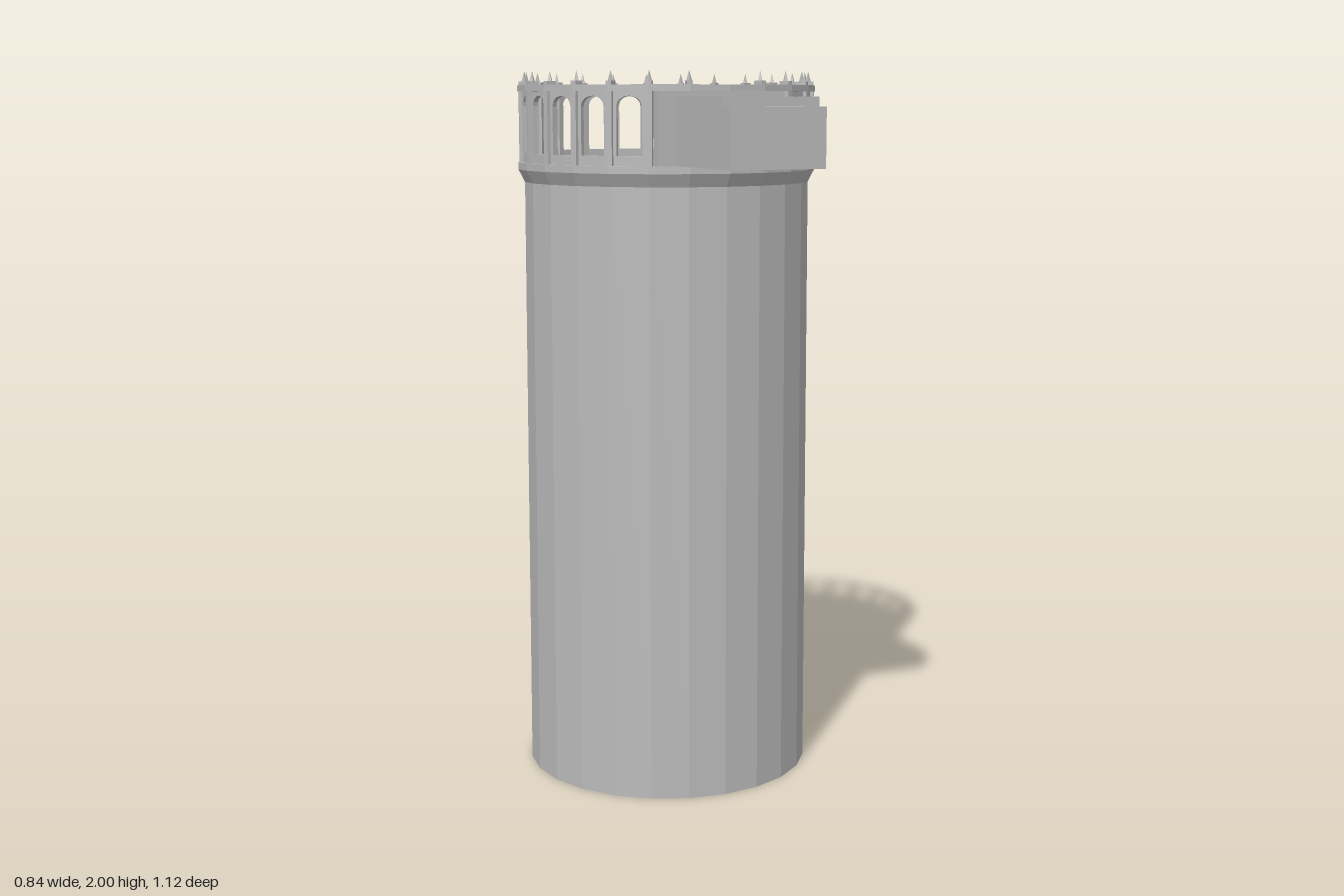
import * as THREE from 'three';

const SIDES = 24;
const CENTRE_Z = -0.14;
const STEP = (Math.PI * 2) / SIDES;
const FLOOR = 1.75;

// Rectangular wall with an arched opening, standing on y = 0
function archWall(width, height, openWidth, sill, spring, rise, depth) {
  const w = width / 2, o = openWidth / 2;
  const shape = new THREE.Shape();
  shape.moveTo(-w, 0).lineTo(w, 0).lineTo(w, height).lineTo(-w, height).closePath();
  const hole = new THREE.Path();
  hole.moveTo(-o, sill).lineTo(-o, spring);
  for (let i = 1; i <= 8; i++) {
    const a = Math.PI * (1 - i / 8);
    hole.lineTo(Math.cos(a) * o, spring + Math.sin(a) * rise);
  }
  hole.lineTo(o, sill).closePath();
  shape.holes.push(hole);
  const geo = new THREE.ExtrudeGeometry(shape, { depth, bevelEnabled: false });
  return geo.translate(0, 0, -depth / 2);
}

export function createModel() {
  const model = new THREE.Group();
  model.name = 'tower';
  const stone = new THREE.MeshStandardMaterial({ color: 0xbababa, flatShading: true });
  stone.name = 'stone';

  function add(name, geometry, parent = model) {
    const mesh = new THREE.Mesh(geometry, stone);
    mesh.name = name;
    parent.add(mesh);
    return mesh;
  }
  function box(name, x0, x1, y0, y1, z0, z1, parent = model) {
    const geo = new THREE.BoxGeometry(x1 - x0, y1 - y0, z1 - z0);
    geo.translate((x0 + x1) / 2, (y0 + y1) / 2, (z0 + z1) / 2);
    return add(name, geo, parent);
  }
  function lathe(name, points, parent) {
    const geo = new THREE.LatheGeometry(points.map(([r, y]) => new THREE.Vector2(r, y)), SIDES);
    return add(name, geo, parent);
  }

  // Round tower with flared cornice and flat floor
  const round = new THREE.Group();
  round.name = 'roundTower';
  round.position.z = CENTRE_Z;
  model.add(round);
  lathe('shaft', [[0, 0], [0.406, 0], [0.402, 1.695], [0.42, 1.73], [0.42, FLOOR], [0, FLOOR]], round);

  // Ring rail carried by the arcade
  lathe('topRail', [[0.38, 1.945], [0.42, 1.945], [0.42, 1.962], [0.38, 1.962], [0.38, 1.945]], round);

  // Arcade: piers and finials at the corners, arched panels between
  const panelGeo = archWall(0.105, 0.197, 0.07, 0.026, 0.155, 0.028, 0.014);
  const pierGeo = new THREE.BoxGeometry(0.018, 0.197, 0.032);
  const blockGeo = new THREE.BoxGeometry(0.016, 0.012, 0.03);
  const spikeGeo = new THREE.ConeGeometry(0.009, 0.032, 4);
  for (let i = 0; i < SIDES; i++) {
    const bay = new THREE.Group();
    bay.name = 'bay';
    bay.rotation.y = i * STEP;
    round.add(bay);
    const fromFront = Math.min(i, SIDES - i);
    if (fromFront > 1) add('pier', pierGeo, bay).position.set(0, FLOOR + 0.0985, 0.4);
    if (fromFront > 0) {
      add('finialBase', blockGeo, bay).position.set(0, 1.966, 0.4);
      add('finialSpike', spikeGeo, bay).position.set(0, 1.984, 0.4);
    }
    // The front four bays are left for the doorway
    if (i >= 2 && i < SIDES - 2) {
      const panel = add('archPanel', panelGeo, bay);
      const a = STEP / 2, r = 0.397;
      panel.position.set(Math.sin(a) * r, FLOOR, Math.cos(a) * r);
      panel.rotation.y = a;
    }
  }

  // Flat doorway wall inside the ring
  const door = add('doorWall', archWall(0.37, 0.197, 0.2, 0.002, 0.1, 0.05, 0.03));
  door.position.set(0, FLOOR, 0.216);

  // Projecting chamber, open underneath
  const chamber = new THREE.Group();
  chamber.name = 'chamber';
  model.add(chamber);
  for (const s of [-1, 1]) {
    box('chamberSide', s * 0.125 - 0.01, s * 0.125 + 0.01, FLOOR, 1.9, 0.23, 0.53, chamber);
  }
  box('chamberRoof', -0.135, 0.135, 1.9, 1.93, 0.23, 0.52, chamber);
  box('chamberFront', -0.135, 0.135, FLOOR, 1.905, 0.52, 0.56, chamber);
  return model;
}
